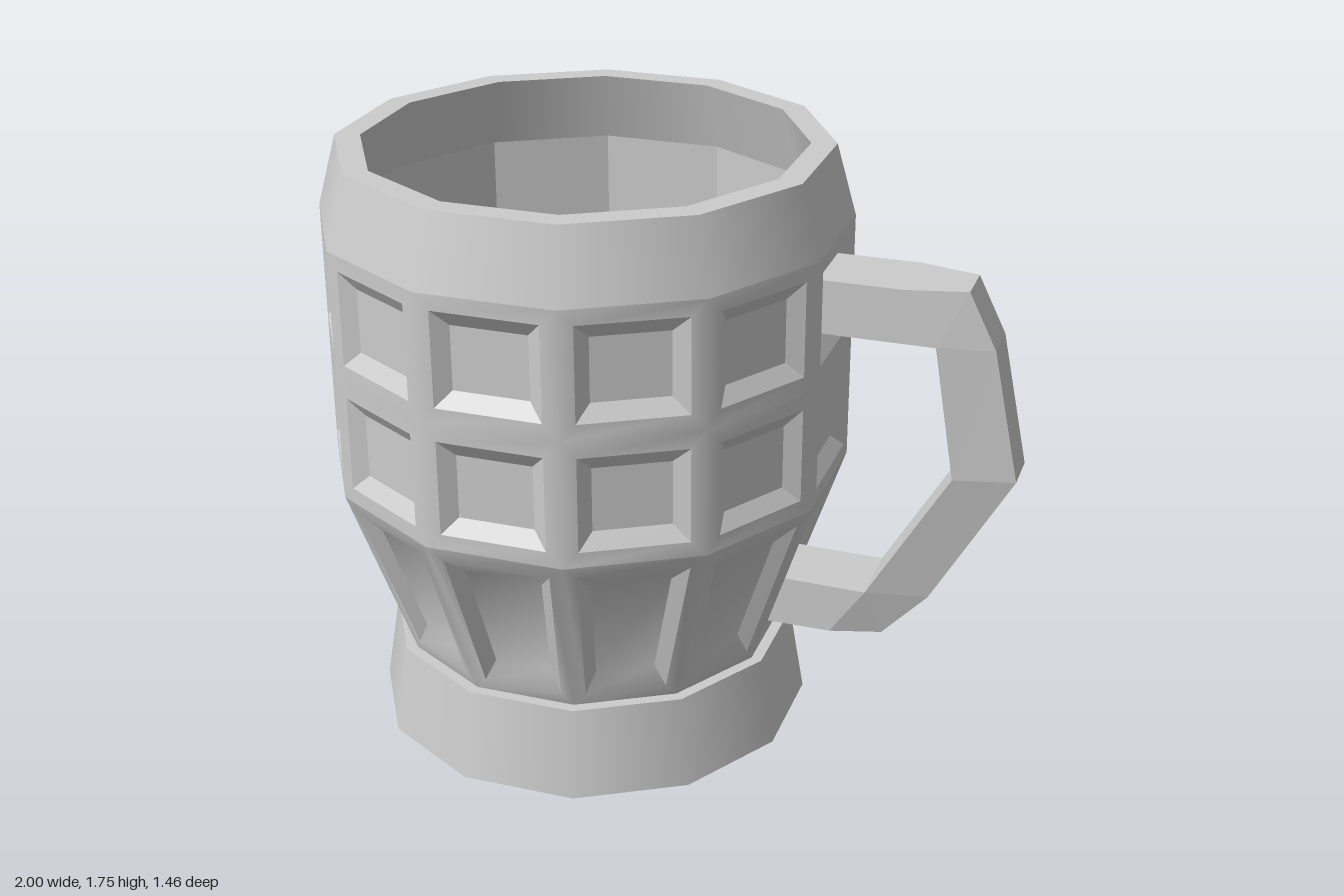
import * as THREE from 'three';
import { mergeGeometries, toCreasedNormals } from 'three/addons/utils/BufferGeometryUtils.js';

const SIDES = 12;
const HALF = Math.PI / SIDES;
const BODY_X = -0.27;

const smoothGrey = new THREE.MeshStandardMaterial({ color: 0xcccccc });
const flatGrey = new THREE.MeshStandardMaterial({ color: 0xcccccc, flatShading: true });

// Twelve-sided bands through [flat radius, y] points, sharp from band to band
function bands(name, points, material) {
  const parts = [];
  for (let i = 0; i + 1 < points.length; i++) {
    const pair = [points[i], points[i + 1]].map(([r, y]) => new THREE.Vector2(r / Math.cos(HALF), y));
    parts.push(new THREE.LatheGeometry(pair, SIDES, HALF));
  }
  const mesh = new THREE.Mesh(mergeGeometries(parts), material);
  mesh.name = name;
  return mesh;
}

// Joins successive four-cornered rings, optionally closing both ends
function joinRings(rings, capStart, capEnd) {
  const pos = [];
  const quad = (a, b, c, d) => [a, b, c, a, c, d].forEach((p) => pos.push(...p));
  for (let k = 0; k + 1 < rings.length; k++) {
    for (let j = 0; j < 4; j++) {
      const n = (j + 1) % 4;
      quad(rings[k][j], rings[k][n], rings[k + 1][n], rings[k + 1][j]);
    }
  }
  if (capStart) quad(...[...rings[0]].reverse());
  if (capEnd) quad(...rings[rings.length - 1]);
  const geo = new THREE.BufferGeometry();
  geo.setAttribute('position', new THREE.Float32BufferAttribute(pos, 3));
  geo.computeVertexNormals();
  return geo;
}

// A row of cells with a bevelled recess in each.
// Every ring is [bottom y, top y, bottom half width, top half width, depth].
function panelRow(name, radiusAt, rings) {
  const parts = [];
  for (let i = 0; i < SIDES; i++) {
    const c = Math.cos(i * 2 * HALF), s = Math.sin(i * 2 * HALF);
    const point = (across, y, depth) => {
      const r = radiusAt(y) - depth;
      return [c * r + s * across, y, s * r - c * across];
    };
    parts.push(joinRings(rings.map(([y0, y1, w0, w1, d]) => [
      point(-w0, y0, d), point(w0, y0, d), point(w1, y1, d), point(-w1, y1, d),
    ]), false, true));
  }
  const mesh = new THREE.Mesh(toCreasedNormals(mergeGeometries(parts), 0.53), smoothGrey);
  mesh.name = name;
  return mesh;
}

export function createModel() {
  const model = new THREE.Group();
  model.name = 'mug';
  const body = new THREE.Group();
  body.name = 'body';
  body.position.x = BODY_X;
  model.add(body);

  // Flared foot with its underside and narrow ledge
  body.add(bands('foot', [[0, 0], [0.625, 0], [0.582, 0.265], [0.55, 0.265]], smoothGrey));

  // Tapered lower row of tall panels
  const taper = (y) => 0.55 + (0.73 - 0.55) * (y - 0.265) / (0.805 - 0.265);
  const edge = Math.tan(HALF);
  body.add(panelRow('lowerPanels', taper, [
    [0.265, 0.805, 0.55 * edge, 0.73 * edge, 0],
    [0.305, 0.765, 0.115, 0.153, 0],
    [0.372, 0.71, 0.083, 0.11, 0.03],
  ]));

  // Two upright rows of square panels
  const straight = () => 0.73;
  const w = 0.73 * edge;
  body.add(panelRow('middlePanels', straight, [
    [0.805, 1.175, w, w, 0],
    [0.85, 1.125, 0.151, 0.151, 0],
    [0.895, 1.08, 0.108, 0.108, 0.03],
  ]));
  body.add(panelRow('upperPanels', straight, [
    [1.175, 1.54, w, w, 0],
    [1.222, 1.495, 0.151, 0.151, 0],
    [1.267, 1.45, 0.108, 0.108, 0.03],
  ]));

  // Rim leaning inwards, then the hollow inside
  body.add(bands('rim', [[0.73, 1.54], [0.675, 1.745], [0.605, 1.745], [0.66, 1.54]], smoothGrey));
  body.add(bands('inside', [[0.66, 1.54], [0.66, 0.805], [0.485, 0.3], [0, 0.3]], flatGrey));

  // Angular handle: [outer x, outer y, outer half width, inner x, inner y]
  const wide = 0.107, narrow = 0.066;
  const stations = [
    [0.42, 1.455, wide, 0.42, 1.3],
    [0.67, 1.455, wide, 0.765, 1.3],
    [0.84, 1.455, narrow, 0.765, 1.3],
    [0.92, 1.295, narrow, 0.765, 1.3],
    [1.0, 0.915, narrow, 0.83, 0.915],
    [0.775, 0.515, narrow, 0.6, 0.52],
    [0.645, 0.375, narrow, 0.6, 0.52],
    [0.5, 0.375, wide, 0.6, 0.52],
    [0.27, 0.375, wide, 0.31, 0.525],
  ];
  const rings = stations.map(([ox, oy, ow, ix, iy]) => [
    [ox, oy, ow], [ox, oy, -ow], [ix, iy, -wide], [ix, iy, wide],
  ]);
  const handle = new THREE.Mesh(joinRings(rings.reverse(), true, true), flatGrey);
  handle.name = 'handle';
  model.add(handle);

  return model;
}
